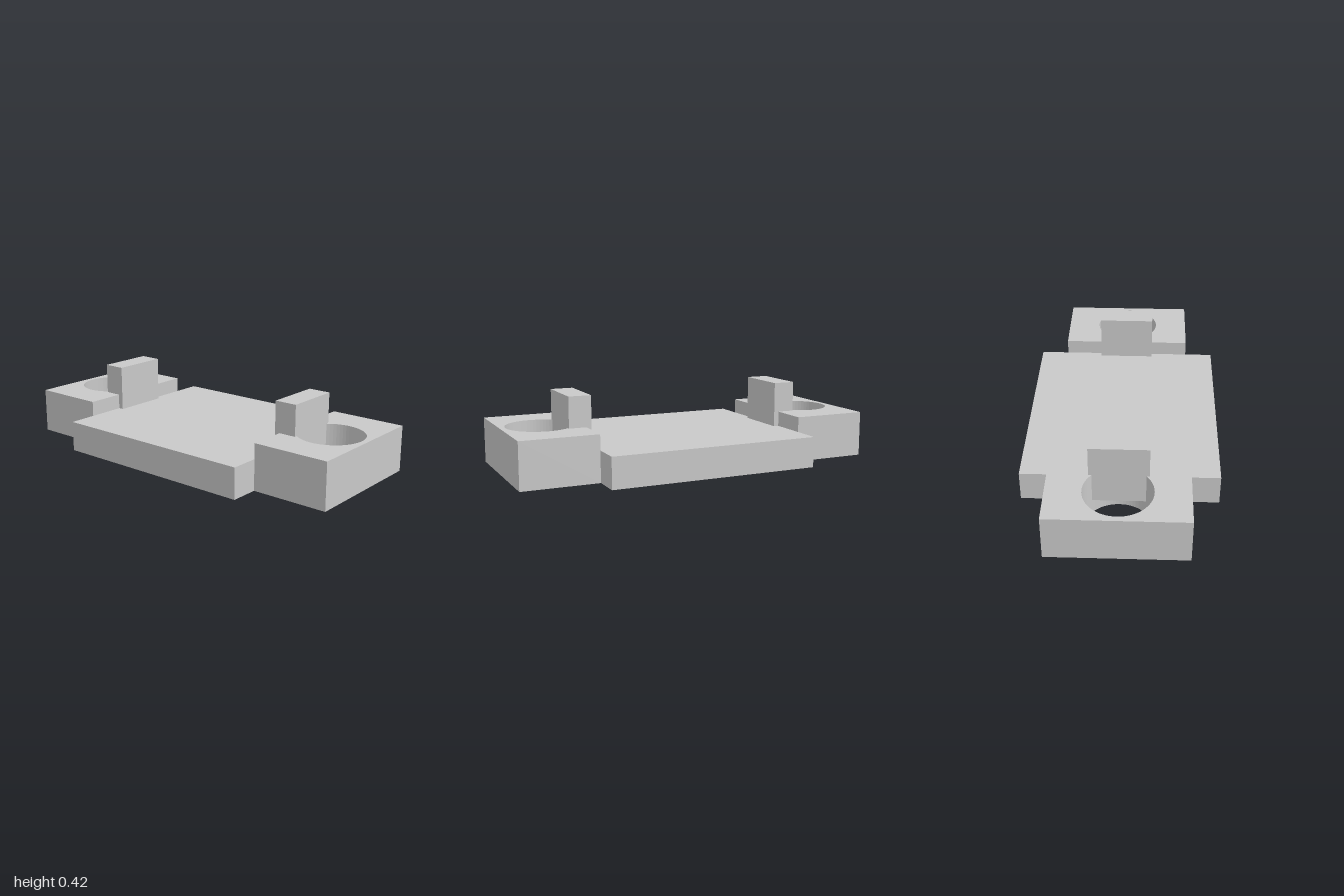
import * as THREE from 'three';

const grey = new THREE.MeshStandardMaterial({ color: 0xc8c8c8 });
grey.name = 'plain grey';

const PLATE_HALF = 0.582;

function box(name, w, h, d, x, y, z) {
  const mesh = new THREE.Mesh(new THREE.BoxGeometry(w, h, d), grey);
  mesh.name = name;
  mesh.position.set(x, y + h / 2, z);
  return mesh;
}

// Raised end block with a round hole through it; side is +1 (left) or -1 (right)
function endBlock(side) {
  const minX = side > 0 ? PLATE_HALF : -1, maxX = side > 0 ? 1 : -PLATE_HALF, d = 0.363;
  // Outline counter-clockwise, hole clockwise, so the hole wall faces inwards
  const shape = new THREE.Shape([
    new THREE.Vector2(minX, -d), new THREE.Vector2(maxX, -d),
    new THREE.Vector2(maxX, d), new THREE.Vector2(minX, d),
  ]);
  const hole = new THREE.Path();
  hole.absarc(side * 0.791, 0, 0.179, 0, Math.PI * 2, true);
  shape.holes.push(hole);
  const geometry = new THREE.ExtrudeGeometry(shape, { depth: 0.25, bevelEnabled: false, curveSegments: 32 });
  geometry.rotateX(-Math.PI / 2);
  const mesh = new THREE.Mesh(geometry, grey);
  mesh.name = side > 0 ? 'leftEndBlock' : 'rightEndBlock';
  return mesh;
}

export function createModel() {
  const model = new THREE.Group();
  model.name = 'mountingBracket';

  // Wide base plate
  model.add(box('basePlate', PLATE_HALF * 2, 0.167, 1.039, 0, 0, 0));

  // End blocks, each with an upright tab reaching down into its hole
  for (const side of [1, -1]) {
    model.add(endBlock(side));
    model.add(box(side > 0 ? 'leftTab' : 'rightTab', 0.123, 0.334, 0.308, side * 0.615, 0.083, 0));
  }
  return model;
}
